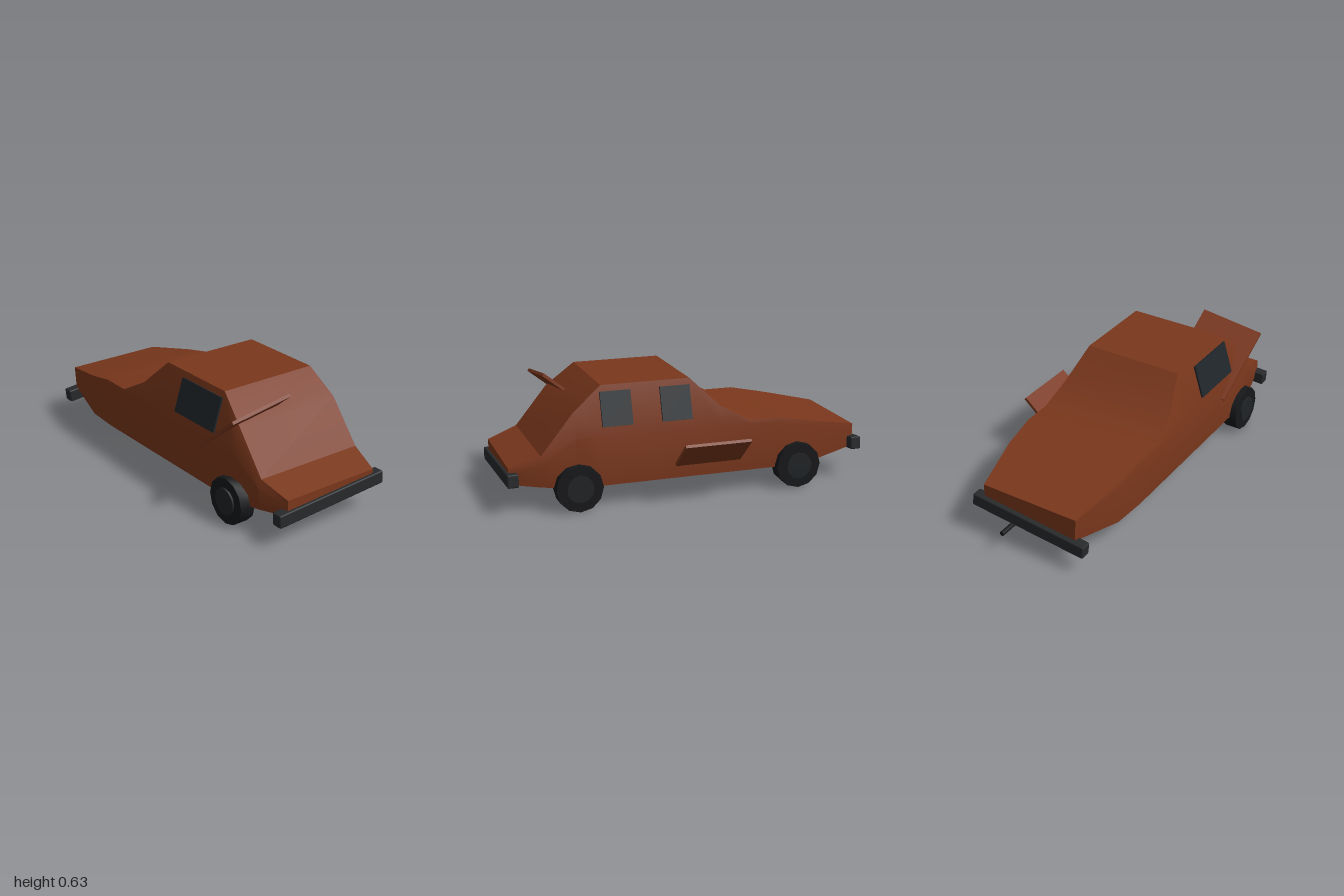
import * as THREE from 'three';
import { toCreasedNormals } from 'three/addons/utils/BufferGeometryUtils.js';
import { RoundedBoxGeometry } from 'three/addons/geometries/RoundedBoxGeometry.js';

const CX = -0.067; // centre line of the car body

const mat = (color) => new THREE.MeshStandardMaterial({ color });
const rust = mat(0x7a371c);
const rubber = mat(0x17181a);
const hubGrey = mat(0x202326);
const bumperGrey = mat(0x27292b);
const glass = mat(0x20262a);

function add(parent, name, geometry, material, x = 0, y = 0, z = 0) {
  const mesh = new THREE.Mesh(geometry, material);
  mesh.name = name;
  mesh.position.set(x, y, z);
  parent.add(mesh);
  return mesh;
}

// Body lofted through six-sided cross-sections from nose to tail:
// z, bottom y, belt y, top y, half widths at bottom, belt and top
function bodyGeometry() {
  const sections = [
    [0.98, 0.15, 0.2, 0.235, 0.265, 0.27, 0.27],
    [0.82, 0.13, 0.25, 0.29, 0.305, 0.318, 0.3],
    [0.65, 0.115, 0.375, 0.5, 0.335, 0.345, 0.298],
    [0.5, 0.115, 0.375, 0.622, 0.335, 0.347, 0.27],
    [0.03, 0.115, 0.375, 0.622, 0.335, 0.347, 0.27],
    [-0.12, 0.115, 0.375, 0.475, 0.335, 0.347, 0.318],
    [-0.28, 0.115, 0.365, 0.386, 0.335, 0.347, 0.342],
    [-0.44, 0.115, 0.36, 0.386, 0.335, 0.345, 0.34],
    [-0.62, 0.117, 0.325, 0.35, 0.325, 0.333, 0.328],
    [-0.91, 0.167, 0.27, 0.29, 0.265, 0.27, 0.27],
  ];
  const pos = [], index = [], n = 6;
  for (const [z, yb, ym, yt, wb, wm, wt] of sections) {
    for (const [x, y] of [[wb, yb], [wm, ym], [wt, yt], [-wt, yt], [-wm, ym], [-wb, yb]]) pos.push(CX + x, y, z);
  }
  for (let i = 0; i < sections.length - 1; i++) {
    for (let j = 0; j < n; j++) {
      const a = i * n + j, b = i * n + (j + 1) % n;
      index.push(a, a + n, b, b, a + n, b + n);
    }
  }
  const last = (sections.length - 1) * n;
  for (let j = 1; j < n - 1; j++) {
    index.push(0, j, j + 1);
    index.push(last, last + j + 1, last + j);
  }
  const g = new THREE.BufferGeometry();
  g.setAttribute('position', new THREE.Float32BufferAttribute(pos, 3));
  g.setIndex(index);
  return toCreasedNormals(g, 0.55);
}

// Wheel with a hub cap standing slightly proud of the outer face
function addWheel(parent, name, side, x, z) {
  const wheel = new THREE.Group();
  wheel.name = name;
  wheel.position.set(x, 0.122, z);
  const disc = (r, w) => toCreasedNormals(new THREE.CylinderGeometry(r, r, w, 12).rotateZ(Math.PI / 2), 0.6);
  add(wheel, 'tyre', disc(0.122, 0.084), rubber);
  add(wheel, 'hubCap', disc(0.07, 0.05), hubGrey, side * 0.027);
  parent.add(wheel);
}

// Flat slab spanned by two edges leaving one corner
function addPanel(parent, name, corner, u, v, thickness) {
  const p = new THREE.Vector3(...corner), a = new THREE.Vector3(...u), b = new THREE.Vector3(...v);
  const g = new THREE.BoxGeometry(a.length(), b.length(), thickness);
  const mesh = add(parent, name, g, rust);
  const ax = a.clone().normalize(), az = a.clone().cross(b).normalize();
  mesh.quaternion.setFromRotationMatrix(new THREE.Matrix4().makeBasis(ax, az.clone().cross(ax), az));
  mesh.position.copy(p).addScaledVector(a, 0.5).addScaledVector(b, 0.5);
}

export function createModel() {
  const car = new THREE.Group();
  car.name = 'wreckedCar';
  add(car, 'body', bodyGeometry(), rust);

  // Windows lie on the sloping cabin sides
  const lean = Math.atan2(0.077, 0.247);
  for (const [name, side, z, width] of [
    ['frontLeftWindow', 1, 0.43, 0.16],
    ['rearLeftWindow', 1, 0.115, 0.16],
    ['rightWindow', -1, 0.34, 0.32],
  ]) {
    const pane = add(car, name, new THREE.BoxGeometry(0.014, 0.178, width), glass, CX + side * 0.309, 0.506, z);
    pane.rotation.z = side * lean;
  }

  // Three remaining wheels; the rear right one is missing
  addWheel(car, 'frontLeftWheel', 1, 0.263, 0.64);
  addWheel(car, 'rearLeftWheel', 1, 0.263, -0.55);
  addWheel(car, 'frontRightWheel', -1, -0.398, 0.64);

  // Crooked bumpers
  for (const [name, y, z, tilt] of [['frontBumper', 0.163, 0.967, 0.06], ['rearBumper', 0.164, -0.907, 0.1]]) {
    const bumper = add(car, name, new RoundedBoxGeometry(0.655, 0.068, 0.058, 1, 0.007), bumperGrey, CX, y, z);
    bumper.rotation.z = tilt;
  }

  // Loose bonnet sheet, sprung up and partly sunk in the nose
  addPanel(car, 'bonnetPanel', [-0.466, 0.569, 0.723], [0.35, 0.05, -0.005], [0.04, -0.265, -0.335], 0.016);

  // Door sheet hanging out at an angle
  addPanel(car, 'doorPanel', [0.298, 0.195, 0.136], [0, 0, -0.352], [0.16, 0.142, 0], 0.016);

  // Exhaust pipe
  add(car, 'exhaustPipe', new THREE.CylinderGeometry(0.012, 0.012, 0.3, 8).rotateX(Math.PI / 2), rubber, 0.036, 0.115, -0.85);
  return car;
}
